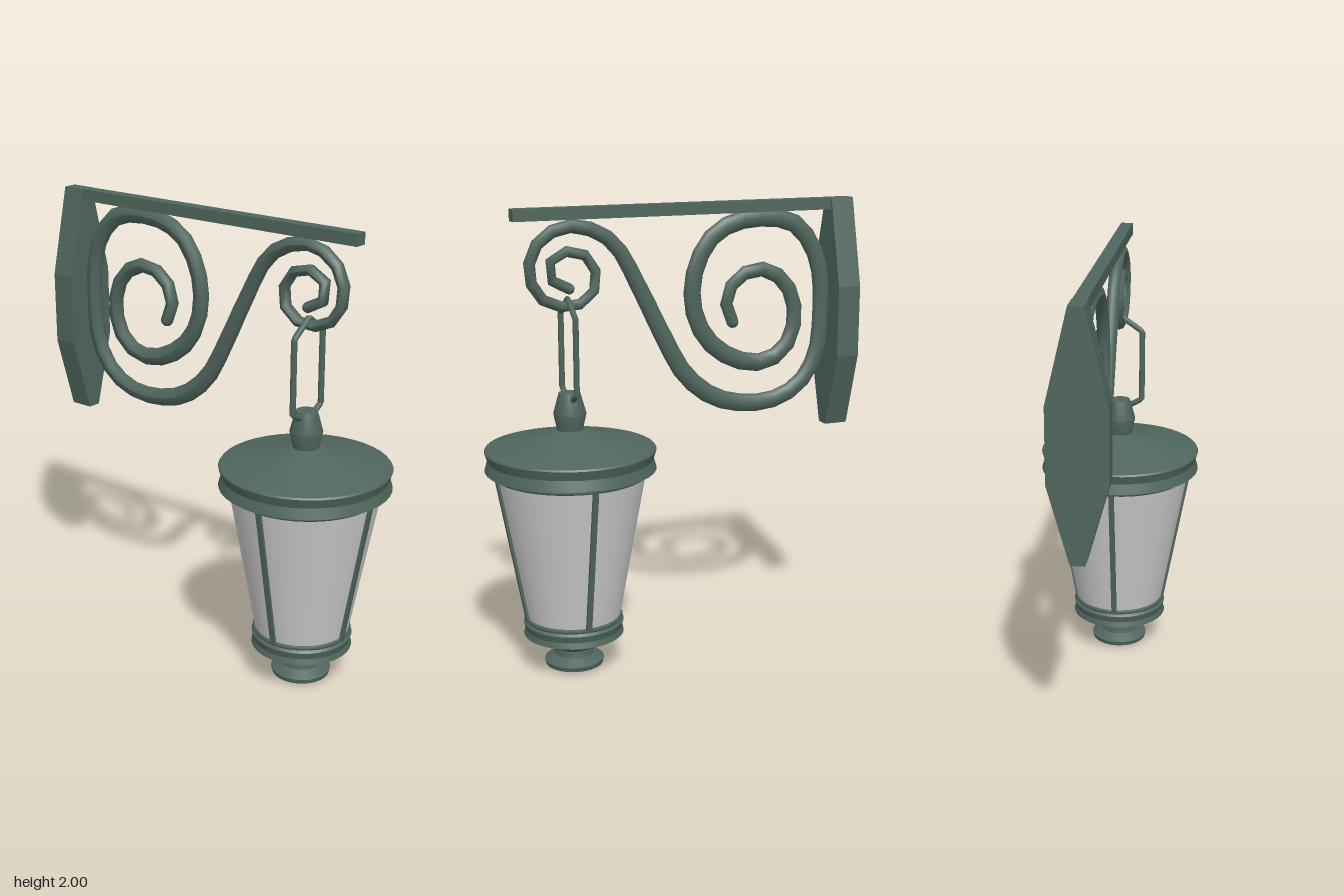
import * as THREE from 'three';
import { toCreasedNormals } from 'three/addons/utils/BufferGeometryUtils.js';

const metal = new THREE.MeshStandardMaterial({ color: 0x4f665d });
const glass = new THREE.MeshStandardMaterial({ color: 0xcccccc, side: THREE.DoubleSide });
const LAMP_X = 0.468;

function add(parent, name, geometry, material = metal) {
  const mesh = new THREE.Mesh(geometry, material);
  mesh.name = name;
  parent.add(mesh);
  return mesh;
}

// Turned part from a profile of [radius, height], listed bottom to top
function turned(profile, segments = 40) {
  const points = profile.map(([r, y]) => new THREE.Vector2(r, y));
  return toCreasedNormals(new THREE.LatheGeometry(points, segments), 0.5);
}

// Round bar through points, with a radius rule and a flattened z depth
function taperedTube(points, segments, sides, radiusAt, depth) {
  const path = new THREE.CatmullRomCurve3(points.map(([x, y]) => new THREE.Vector3(x, y, 0)));
  const geometry = new THREE.TubeGeometry(path, segments, 1, sides);
  const pos = geometry.attributes.position;
  const v = new THREE.Vector3();
  for (let i = 0; i <= segments; i++) {
    const centre = path.getPointAt(i / segments);
    const r = radiusAt(i / segments);
    for (let j = 0; j <= sides; j++) {
      const k = i * (sides + 1) + j;
      v.fromBufferAttribute(pos, k).sub(centre);
      pos.setXYZ(k, centre.x + v.x * r, centre.y + v.y * r, v.z * depth);
    }
  }
  geometry.computeVertexNormals();
  return geometry;
}

function createBracket() {
  const bracket = new THREE.Group();
  bracket.name = 'bracket';

  // Wall plate, wide in the middle and narrow at both ends
  const half = [[0.03, 0.985], [0.12, 1.31], [0.12, 1.62], [0.03, 2.0]];
  const outline = [...half, ...half.map(([z, y]) => [-z, y]).reverse()];
  const shape = new THREE.Shape(outline.map(([z, y]) => new THREE.Vector2(z, y)));
  const plate = new THREE.ExtrudeGeometry(shape, { depth: 0.105, bevelEnabled: false });
  plate.rotateY(Math.PI / 2).translate(-0.84, 0, 0);
  add(bracket, 'wallPlate', plate);

  // Top arm
  add(bracket, 'topArm', new THREE.BoxGeometry(1.54, 0.05, 0.055)).position.set(-0.07, 1.975, 0);

  // One scroll: large spiral, sweeping S, small spiral
  const scroll = [
    [-0.28, 1.48], [-0.25, 1.56], [-0.275, 1.64], [-0.34, 1.69], [-0.43, 1.70], [-0.53, 1.64],
    [-0.58, 1.52], [-0.565, 1.40], [-0.51, 1.325], [-0.41, 1.29], [-0.28, 1.32], [-0.16, 1.41],
    [-0.10, 1.53], [-0.09, 1.64], [-0.12, 1.76], [-0.19, 1.86], [-0.29, 1.91], [-0.42, 1.925],
    [-0.56, 1.90], [-0.65, 1.81], [-0.70, 1.68], [-0.71, 1.50], [-0.69, 1.31], [-0.62, 1.19],
    [-0.51, 1.125], [-0.37, 1.11], [-0.20, 1.15], [-0.06, 1.26], [0.045, 1.44], [0.14, 1.63],
    [0.26, 1.84], [0.36, 1.905], [0.48, 1.92], [0.59, 1.86], [0.632, 1.74], [0.58, 1.63],
    [0.47, 1.59], [0.375, 1.62], [0.34, 1.695], [0.37, 1.785], [0.445, 1.82], [0.525, 1.80],
    [0.55, 1.735], [0.515, 1.685], [0.46, 1.665],
  ];
  const radius = (t) => {
    const grow = Math.min(1, t / 0.15);
    const shrink = THREE.MathUtils.smoothstep(t, 0.62, 0.9);
    return (0.028 + 0.012 * grow) * (1 - shrink) + 0.023 * shrink;
  };
  add(bracket, 'scroll', taperedTube(scroll, 66, 8, radius, 0.027));
  // End caps of the scroll
  [[scroll[0], 0.028], [scroll[scroll.length - 1], 0.023]].forEach(([p, r]) => {
    add(bracket, 'scrollEnd', new THREE.SphereGeometry(r, 8, 6)).position.set(p[0], p[1], 0);
  });
  return bracket;
}

// Straight-sided hanging link, in the plane facing x
function createLink() {
  const corners = [[0, 1.625], [0.1, 1.555], [0.1, 1.235], [0, 1.18], [-0.1, 1.235], [-0.1, 1.555]]
    .map(([z, y]) => new THREE.Vector3(0, y, z));
  const path = new THREE.CurvePath();
  corners.forEach((c, i) => path.add(new THREE.LineCurve3(c, corners[(i + 1) % corners.length])));
  const link = add(new THREE.Group(), 'hangingLink', new THREE.TubeGeometry(path, 96, 0.013, 8, true));
  link.position.x = LAMP_X;
  return link;
}

function createLantern() {
  const lantern = new THREE.Group();
  lantern.name = 'lantern';
  lantern.position.x = LAMP_X;

  // Roof with rim and finial
  add(lantern, 'roof', turned([
    [0, 0.89], [0.32, 0.89], [0.365, 0.90], [0.352, 0.945], [0.365, 0.985], [0.36, 0.992],
    [0.08, 1.06], [0.055, 1.07], [0.07, 1.14], [0.045, 1.23], [0, 1.23],
  ]));

  // Base with foot
  add(lantern, 'base', turned([
    [0, 0.005], [0.08, 0], [0.125, 0.015], [0.13, 0.035], [0.085, 0.06], [0.08, 0.09],
    [0.12, 0.11], [0.218, 0.16], [0.21, 0.185], [0.218, 0.215], [0.2, 0.232], [0, 0.232],
  ]));

  // Glass shade
  add(lantern, 'glass', new THREE.CylinderGeometry(0.322, 0.202, 0.66, 40, 1, true), glass)
    .position.y = 0.56;

  // Rings holding the glass
  [['upperRing', 0.32, 0.885], ['lowerRing', 0.203, 0.235]].forEach(([name, r, y]) => {
    const ring = add(lantern, name, new THREE.TorusGeometry(r, 0.011, 6, 40));
    ring.rotation.x = Math.PI / 2;
    ring.position.y = y;
  });

  // Four leaning glazing bars
  const lean = Math.atan2(0.12, 0.66);
  for (let i = 0; i < 4; i++) {
    const holder = new THREE.Group();
    holder.name = 'glazingBar';
    holder.rotation.y = i * Math.PI / 2;
    const bar = add(holder, 'bar', new THREE.BoxGeometry(0.024, 0.675, 0.022));
    bar.position.set(0, 0.56, 0.262);
    bar.rotation.x = lean;
    lantern.add(holder);
  }
  return lantern;
}

export function createModel() {
  const model = new THREE.Group();
  model.name = 'wallLantern';
  model.add(createBracket(), createLink(), createLantern());
  return model;
}
